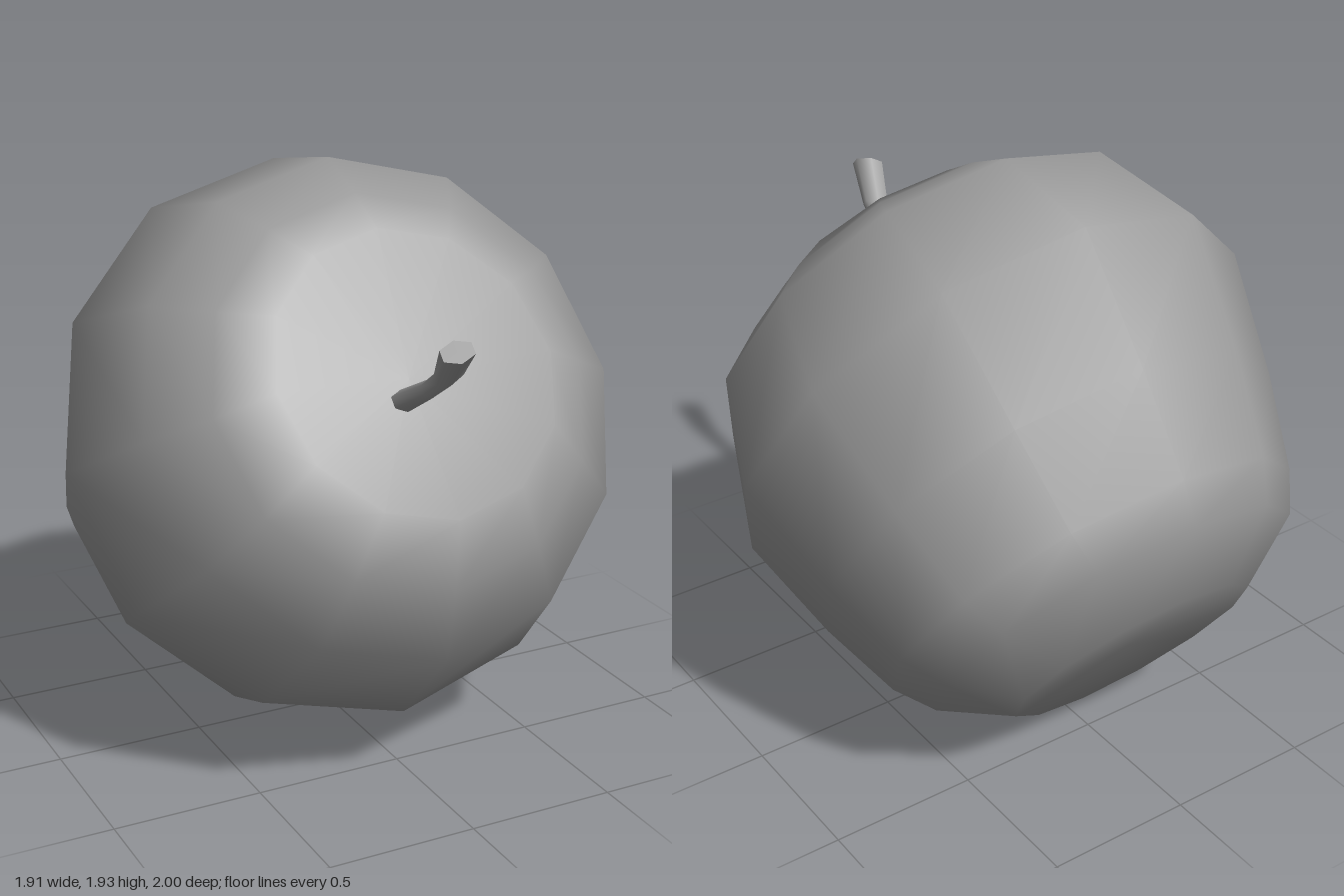
import * as THREE from 'three';
import { toCreasedNormals } from 'three/addons/utils/BufferGeometryUtils.js';

// Skin a stack of rings, listed from top to bottom, closing both ends to a centre point.
// Each ring: x, y, z centre, rx and rz radii, tilt (rise towards local -z), lean (rise towards +x).
function loft(rings, sides) {
  const pos = [], index = [];
  for (const { x = 0, y, z = 0, rx, rz = rx, tilt = 0, lean = 0 } of rings) {
    for (let j = 0; j < sides; j++) {
      const a = (j / sides) * Math.PI * 2, s = Math.sin(a), c = Math.cos(a);
      pos.push(x + rx * s, y + tilt * c + lean * s, z - rz * c);
    }
  }
  for (let i = 0; i < rings.length - 1; i++) {
    for (let j = 0; j < sides; j++) {
      const k = (j + 1) % sides;
      const a = i * sides + j, b = i * sides + k, c = a + sides, d = b + sides;
      index.push(a, b, d, a, d, c);
    }
  }
  const top = pos.length / 3, bottom = top + 1, last = (rings.length - 1) * sides;
  for (const r of [rings[0], rings[rings.length - 1]]) pos.push(r.x ?? 0, r.capY ?? r.y, r.z ?? 0);
  for (let j = 0; j < sides; j++) {
    const k = (j + 1) % sides;
    index.push(top, k, j, bottom, last + j, last + k);
  }
  const geo = new THREE.BufferGeometry();
  geo.setAttribute('position', new THREE.Float32BufferAttribute(pos, 3));
  geo.setIndex(index);
  geo.computeVertexNormals();
  return geo;
}

export function createModel() {
  const material = new THREE.MeshStandardMaterial({ color: 0x9a9a9a });
  const model = new THREE.Group();
  model.name = 'apple';

  // The fruit lies on its side with the stem pointing forward and up
  const fruit = new THREE.Group();
  fruit.name = 'tiltedFruit';
  fruit.rotation.x = 0.957;
  fruit.position.set(0, 0.637, -0.453);
  model.add(fruit);

  // Body: shallow hollow, shoulder, slightly skewed belly, tapered base
  const body = new THREE.Mesh(loft([
    { y: 1.295, rx: 0.477, capY: 1.225 },
    { y: 1.18, rx: 0.645, z: 0.016, tilt: 0.039 },
    { y: 1.036, rx: 0.823, z: 0.018, tilt: 0.073 },
    { y: 0.645, rx: 0.955, z: -0.024, tilt: 0.083 },
    { y: 0.245, rx: 0.85, z: -0.012, tilt: 0.037 },
    { y: -0.051, rx: 0.746, z: -0.007 },
    { y: -0.184, rx: 0.66, z: -0.028 },
    { y: -0.324, rx: 0.43, z: -0.004, capY: -0.3 },
  ], 12), material);
  body.name = 'body';
  fruit.add(body);

  // Stem: six-sided stalk, bent to one side near the tip and flared at both ends
  const stem = new THREE.Mesh(toCreasedNormals(loft([
    { x: -0.082, y: 1.697, z: 0.072, rx: 0.05, rz: 0.038, tilt: -0.006, lean: 0.022 },
    { x: -0.027, y: 1.515, z: 0.084, rx: 0.033, rz: 0.033, lean: 0.04 },
    { x: -0.022, y: 1.37, z: 0.08, rx: 0.03, rz: 0.03 },
    { x: -0.053, y: 1.19, z: 0.066, rx: 0.054, rz: 0.04 },
  ], 6), 1.2), material);
  stem.name = 'stem';
  fruit.add(stem);

  return model;
}
